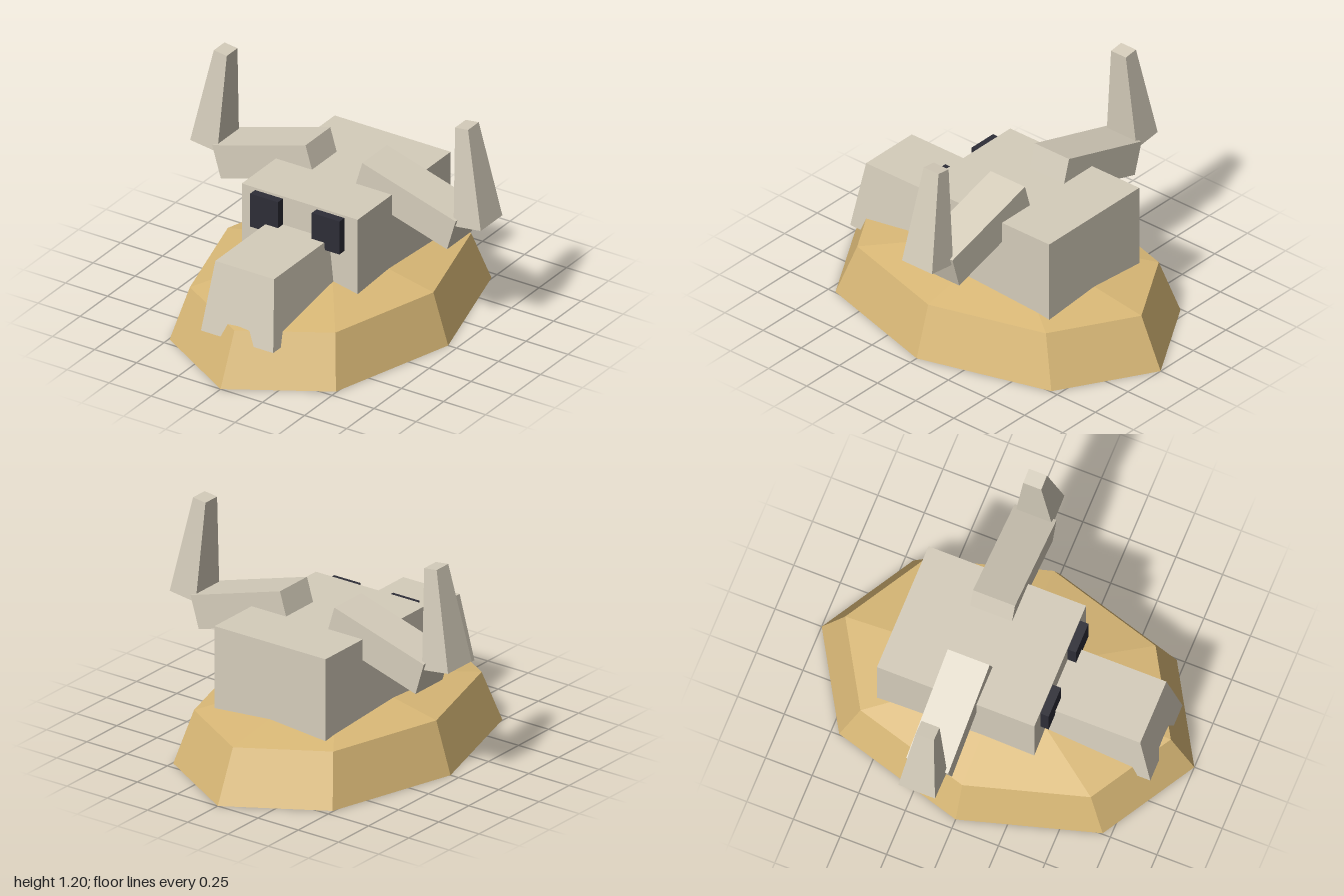
import * as THREE from 'three';

// Box whose top and bottom differ in width and depth, centred on its own middle
function taperedBox(wBottom, dBottom, wTop, dTop, height) {
  const geo = new THREE.BoxGeometry(1, height, 1).toNonIndexed();
  const pos = geo.attributes.position;
  for (let i = 0; i < pos.count; i++) {
    const top = pos.getY(i) > 0;
    pos.setX(i, pos.getX(i) * (top ? wTop : wBottom));
    pos.setZ(i, pos.getZ(i) * (top ? dTop : dBottom));
  }
  geo.computeVertexNormals();
  return geo;
}

export function createModel() {
  const model = new THREE.Group();
  model.name = 'hornedSkullOnMound';

  const flat = (name, color) => {
    const m = new THREE.MeshStandardMaterial({ color, flatShading: true });
    m.name = name;
    return m;
  };
  const sand = flat('sand', 0xdab977);
  const bone = flat('bone', 0xd5cdbb);
  const dark = flat('eyeSocketDark', 0x2d2d37);

  const add = (name, geo, mat, x = 0, y = 0, z = 0, rotZ = 0) => {
    const mesh = new THREE.Mesh(geo, mat);
    mesh.name = name;
    mesh.position.set(x, y, z);
    mesh.rotation.z = rotZ;
    model.add(mesh);
    return mesh;
  };

  // Eight-sided mound, narrower across, with a shallow peak
  const profile = [[0, 0], [1, 0], [0.874, 0.275], [0, 0.4]].map(([r, y]) => new THREE.Vector2(r, y));
  const mound = new THREE.LatheGeometry(profile, 8);
  mound.scale(0.7, 1, 1);
  add('mound', mound, sand);

  // Skull block, sunk into the mound
  add('skull', new THREE.BoxGeometry(0.69, 0.535, 0.845), bone, 0, 0.4675, -0.1425);

  // Snout: sides flare downward and the front leans forward, the back stays upright
  const snout = taperedBox(0.43, 0.65, 0.35, 0.58, 0.375);
  const p = snout.attributes.position;
  for (let i = 0; i < p.count; i++) {
    p.setZ(i, p.getZ(i) + (p.getY(i) > 0 ? 0.29 : 0.325));
  }
  snout.computeVertexNormals();
  add('snout', snout, bone, 0, 0.3875, 0.2);

  // Eye sockets and two-part horns, mirrored
  for (const [side, s] of [['left', 1], ['right', -1]]) {
    add(side + 'EyeSocket', new THREE.BoxGeometry(0.165, 0.187, 0.065), dark, s * 0.183, 0.628, 0.2925);
    add(side + 'HornBase', new THREE.BoxGeometry(0.58, 0.18, 0.225), bone, s * 0.421, 0.693, -0.143, -s * 0.29);
    add(side + 'HornTip', taperedBox(0.163, 0.197, 0.078, 0.097, 0.528), bone, s * 0.751, 0.93, -0.143, s * 0.125);
  }

  return model;
}
